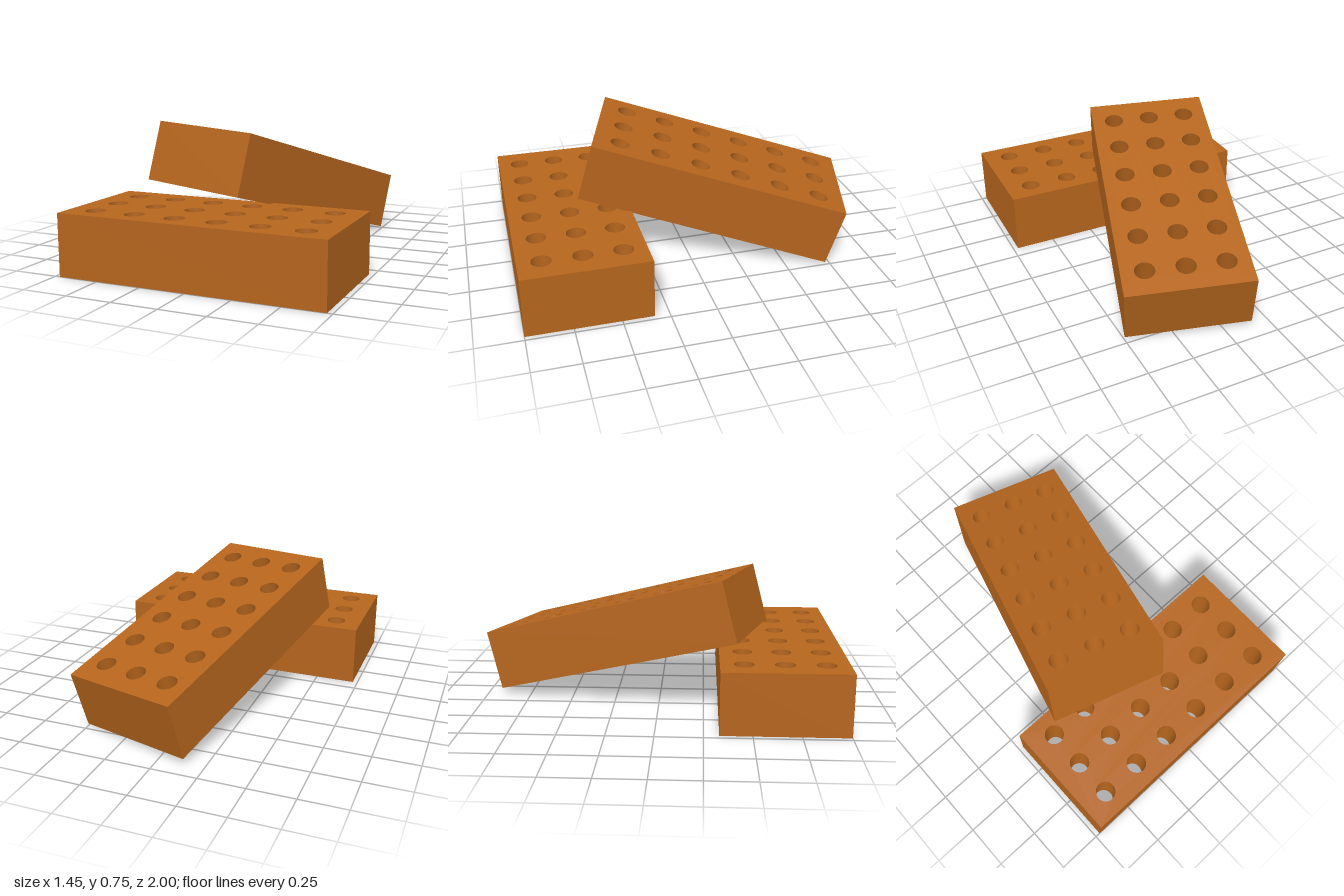
import * as THREE from 'three';
import { toCreasedNormals } from 'three/addons/utils/BufferGeometryUtils.js';

const LENGTH = 1.445, HEIGHT = 0.335, WIDTH = 0.67;
const HOLE_RADIUS = 0.053, COLUMN_STEP = 0.23, ROW_STEP = 0.21;

// Brick centred on its origin: length along x, height along y, width along z
function brickGeometry() {
  const x = LENGTH / 2, z = WIDTH / 2;
  const outline = new THREE.Shape([
    new THREE.Vector2(-x, -z), new THREE.Vector2(x, -z),
    new THREE.Vector2(x, z), new THREE.Vector2(-x, z),
  ]);
  // Six columns by three rows of through holes
  for (let column = 0; column < 6; column++) {
    for (let row = 0; row < 3; row++) {
      const hole = new THREE.Path();
      hole.absarc((column - 2.5) * COLUMN_STEP, (row - 1) * ROW_STEP, HOLE_RADIUS, 0, Math.PI * 2, true);
      outline.holes.push(hole);
    }
  }
  const geometry = new THREE.ExtrudeGeometry(outline, { depth: HEIGHT, bevelEnabled: false, curveSegments: 32 });
  geometry.translate(0, 0, -HEIGHT / 2);
  geometry.rotateX(-Math.PI / 2);
  return toCreasedNormals(geometry, 0.6);
}

export function createModel() {
  const model = new THREE.Group();
  model.name = 'stackedBricks';
  const geometry = brickGeometry();
  const clay = new THREE.MeshStandardMaterial({ color: 0xb5651d });

  // Brick lying flat at the front
  const flatBrick = new THREE.Mesh(geometry, clay);
  flatBrick.name = 'flatBrick';
  flatBrick.position.set(0, HEIGHT / 2, 0.665);
  model.add(flatBrick);

  // Brick leaning on the flat one, sloping down to the back
  const leaningBrick = new THREE.Mesh(geometry, clay);
  leaningBrick.name = 'leaningBrick';
  const along = new THREE.Vector3(0.395, -0.395, -1.34).normalize();
  const across = new THREE.Vector3(0.64, -0.022, 0.195).normalize();
  const up = new THREE.Vector3().crossVectors(across, along).normalize();
  across.crossVectors(along, up);
  leaningBrick.quaternion.setFromRotationMatrix(new THREE.Matrix4().makeBasis(along, up, across));
  leaningBrick.position.set(0, 0.383, -0.192);
  model.add(leaningBrick);

  return model;
}
